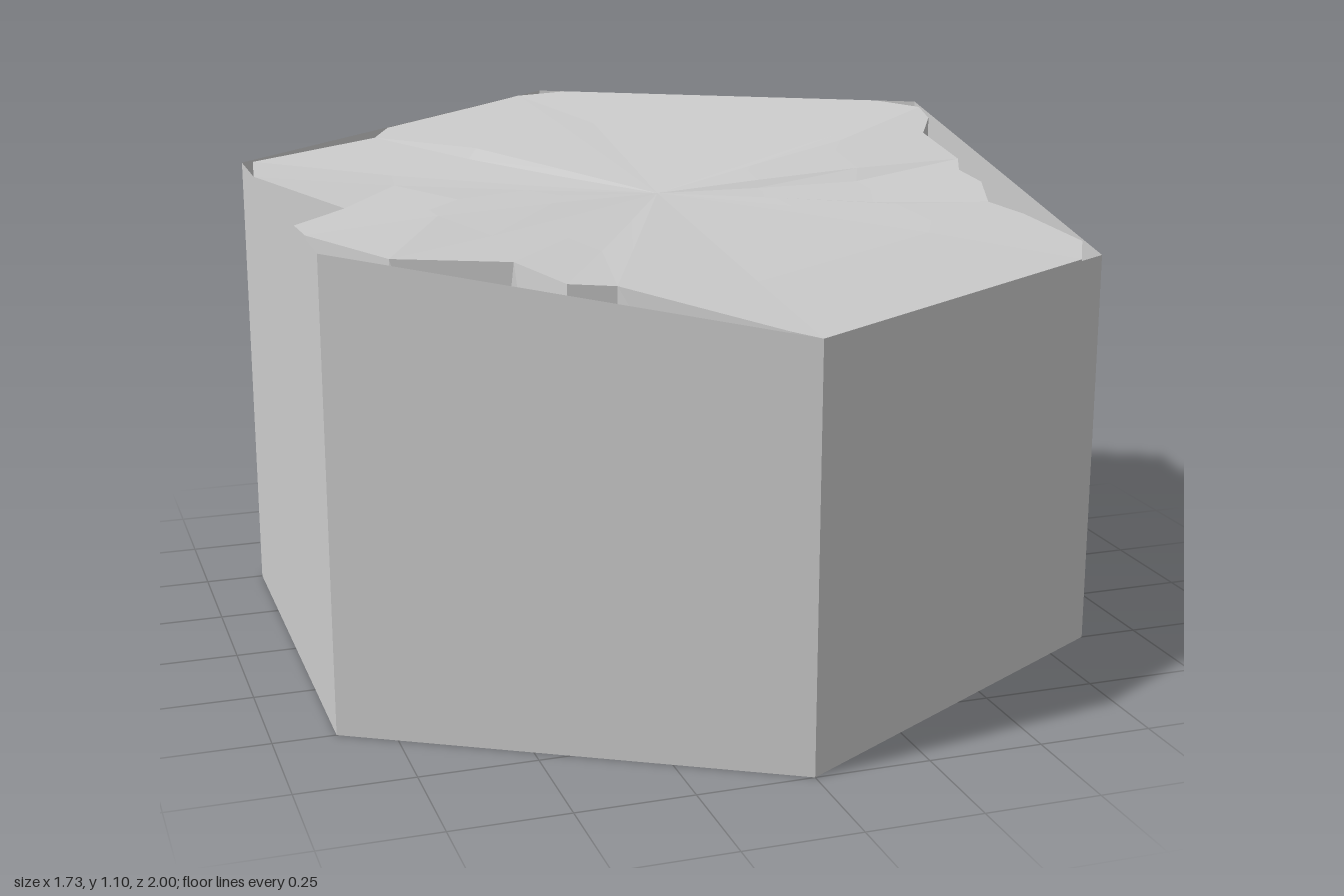
import * as THREE from 'three';

const mat = new THREE.MeshStandardMaterial({ color: 0xcccccc, flatShading: true, side: THREE.DoubleSide });

// Hexagon corners [x, z] going round from the back, with the wall height at each
const W = Math.sqrt(3) / 2;
const corners = [[0, -1], [W, -0.5], [W, 0.5], [0, 1], [-W, 0.5], [-W, -0.5]];
const heights = [1.1, 1.1, 0.9, 0.9, 1.02, 1.035];
const centreHeight = 1.0;

// Ragged edge of the rock cap: x, z, and how far the foot below it leans outward
const edge = [
  [0.06, -0.965, 1], [0.78, -0.55, 1], [0.86, -0.46, 1], [0.85, -0.38, 1.05], [0.79, -0.28, 1.1],
  [0.8, -0.1, 1], [0.77, -0.03, 1], [0.79, 0.05, 1], [0.75, 0.17, 1.06], [0.8, 0.25, 1.05],
  [0.86, 0.42, 1], [0.8, 0.53, 1], [0, 1, 1], [-0.05, 0.96, 1], [-0.31, 0.69, 1.1],
  [-0.41, 0.68, 1.1], [-0.48, 0.54, 1.2], [-0.73, 0.53, 1.1], [-0.86, 0.33, 1], [-0.866, 0.23, 1],
  [-0.73, 0.07, 1], [-0.866, -0.32, 1], [-0.84, -0.5, 1], [-0.52, -0.64, 1.05], [-0.47, -0.725, 1],
  [-0.22, -0.87, 1], [-0.07, -0.96, 1],
];

// Distance from the axis measured in hexagons: 1 is on the wall
const hexRadius = (x, z) =>
  Math.max(Math.abs(x), Math.abs(x / 2 + z * W), Math.abs(x / 2 - z * W)) / W;

// Height of the sloping top: linear in each of the six wedges
function topHeight(x, z) {
  for (let i = 0; i < 6; i++) {
    const j = (i + 1) % 6;
    const [ax, az] = corners[i], [bx, bz] = corners[j];
    const det = ax * bz - az * bx;
    const u = (x * bz - z * bx) / det;
    const v = (ax * z - az * x) / det;
    if (u >= -1e-6 && v >= -1e-6) {
      return centreHeight + u * (heights[i] - centreHeight) + v * (heights[j] - centreHeight);
    }
  }
  return centreHeight;
}

// Mesh joining closed rings of equal length, in order
function loft(name, rings) {
  const n = rings[0].length, index = [];
  for (let r = 0; r < rings.length - 1; r++) {
    for (let i = 0; i < n; i++) {
      const a = r * n + i, b = r * n + ((i + 1) % n);
      index.push(a, a + n, b, b, a + n, b + n);
    }
  }
  const geo = new THREE.BufferGeometry();
  geo.setAttribute('position', new THREE.Float32BufferAttribute(rings.flat(2), 3));
  geo.setIndex(index);
  const flat = geo.toNonIndexed();
  flat.computeVertexNormals();
  const mesh = new THREE.Mesh(flat, mat);
  mesh.name = name;
  return mesh;
}

export function createModel() {
  const group = new THREE.Group();
  group.name = 'hexagonalRockTile';

  // Six flat outer walls, open underneath
  group.add(loft('outerWalls', [
    corners.map(([x, z]) => [x, 0, z]),
    corners.map(([x, z], i) => [x, heights[i], z]),
  ]));

  // Faceted cap, with rings shrinking to the centre
  const capRing = (s, bump) => edge.map(([x, z], i) => {
    const y = topHeight(x * s, z * s);
    return [x * s, y + bump * Math.sin(Math.floor(i / 3) * 2.4), z * s];
  });
  group.add(loft('rockCap', [
    capRing(0, 0), capRing(0.32, 0.006), capRing(0.65, 0.008), capRing(1, 0),
  ]));

  // Rough inner rock face hanging below the cap, kept just inside the walls
  const foot = edge.map(([x, z, lean], i) => {
    const s = Math.min(lean, 0.995 / hexRadius(x, z));
    return [x * s, 0.3 + 0.14 * Math.sin(i * 2.1), z * s];
  });
  group.add(loft('innerRockFace', [capRing(1, 0), foot]));

  return group;
}
